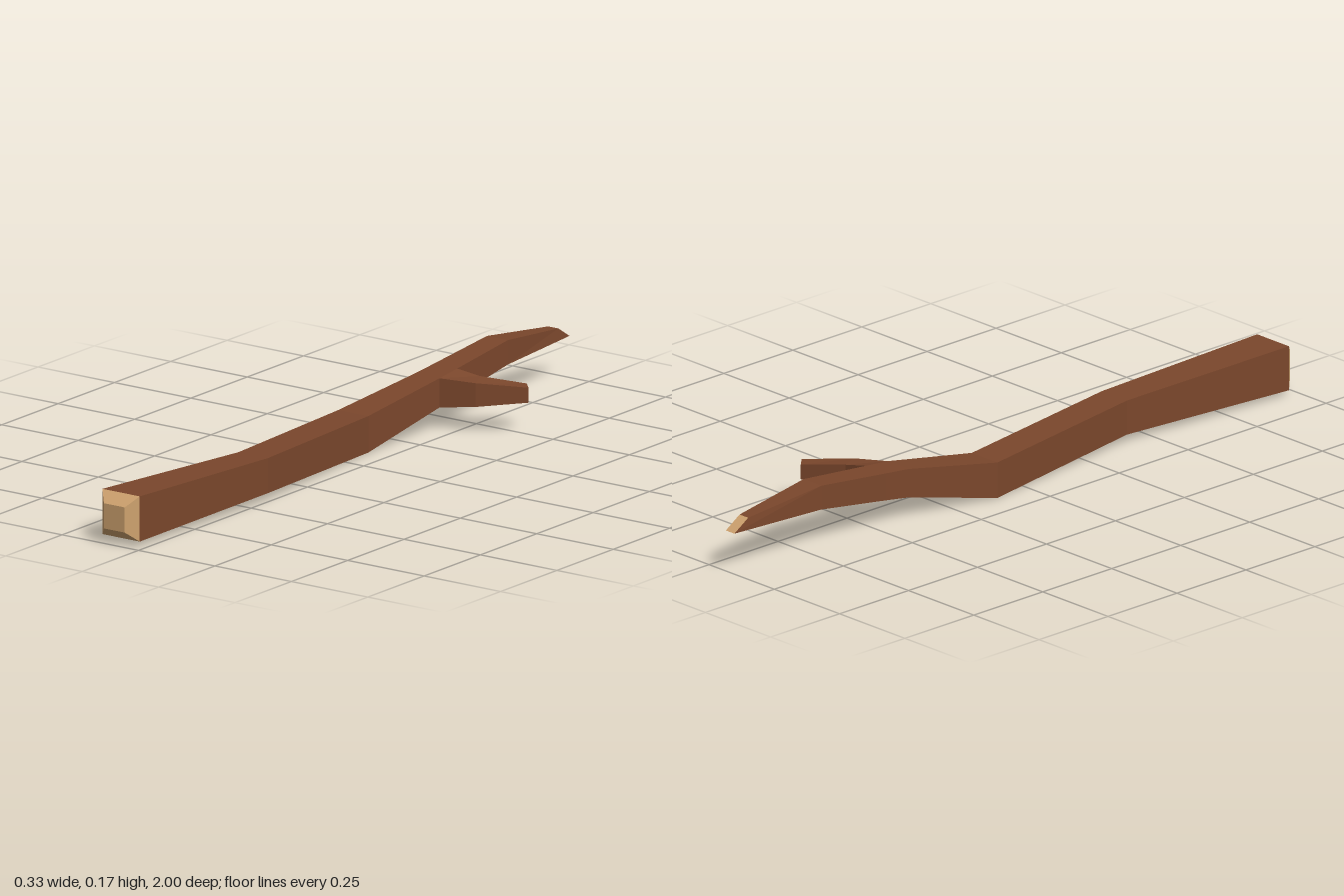
import * as THREE from 'three';

// Skin a list of four-cornered rings (corners counter-clockwise seen from the start end).
function loft(rings, { startCap = false, endCap = false } = {}) {
  const pos = [];
  const quad = (a, b, c, d) => pos.push(...a, ...b, ...c, ...a, ...c, ...d);
  for (let i = 0; i < rings.length - 1; i++) {
    const a = rings[i], b = rings[i + 1];
    for (let k = 0; k < 4; k++) {
      const n = (k + 1) % 4;
      quad(a[k], b[k], b[n], a[n]);
    }
  }
  if (startCap) quad(...rings[0]);
  if (endCap) quad(...[...rings[rings.length - 1]].reverse());
  const geo = new THREE.BufferGeometry();
  geo.setAttribute('position', new THREE.Float32BufferAttribute(pos, 3));
  geo.computeVertexNormals();
  return geo;
}

// One flat end face
function endFace(ring) {
  return loft([ring], { endCap: true });
}

// Rectangular section across the stick; zTop lets the section lean
const section = (x0, x1, y0, y1, z, zTop = z) => [
  [x0, y0, z], [x1, y0, z], [x1, y1, zTop], [x0, y1, zTop],
];

// Section across the twig: far and near edges in plan, with heights for each
const twigSection = (fx, fz, f0, f1, nx, nz, n0, n1) => [
  [fx, f0, fz], [nx, n0, nz], [nx, n1, nz], [fx, f1, fz],
];

export function createModel() {
  const bark = new THREE.MeshStandardMaterial({ color: 0x7b472c, flatShading: true });
  bark.name = 'bark brown';
  const wood = new THREE.MeshStandardMaterial({ color: 0xd2a570, flatShading: true });
  wood.name = 'cut wood tan';

  const group = new THREE.Group();
  group.name = 'branch';
  const add = (name, geo, mat) => {
    const mesh = new THREE.Mesh(geo, mat);
    mesh.name = name;
    group.add(mesh);
  };

  // Main stick, thick end to thin tip
  const stick = [
    section(-0.14, -0.018, 0.016, 0.14, 0.97),
    section(-0.1, -0.004, 0.024, 0.12, 0.42),
    section(-0.164, -0.066, 0.002, 0.102, -0.11),
    section(-0.12, -0.04, 0.065, 0.145, -0.39),
    section(-0.118, -0.041, 0.077, 0.153, -0.47),
    section(-0.113, -0.045, 0.11, 0.177, -0.7),
    section(-0.097, -0.064, 0.116, 0.148, -1, -0.95),
  ];
  add('stick', loft(stick), bark);

  // Bevelled cut at the thick end, slanted cut at the tip
  const buttFace = section(-0.113, -0.045, 0.043, 0.112, 1);
  add('buttCut', loft([buttFace, stick[0]], { startCap: true }), wood);
  add('tipCut', endFace(stick[stick.length - 1]), wood);

  // Side twig
  const twig = [
    twigSection(-0.041, -0.47, 0.077, 0.153, -0.04, -0.39, 0.065, 0.145),
    twigSection(0.025, -0.482, 0.076, 0.141, 0.05, -0.428, 0.073, 0.138),
    twigSection(0.135, -0.54, 0.085, 0.126, 0.163, -0.51, 0.085, 0.126),
  ];
  add('twig', loft(twig), bark);
  add('twigCut', endFace(twig[2]), wood);

  return group;
}
